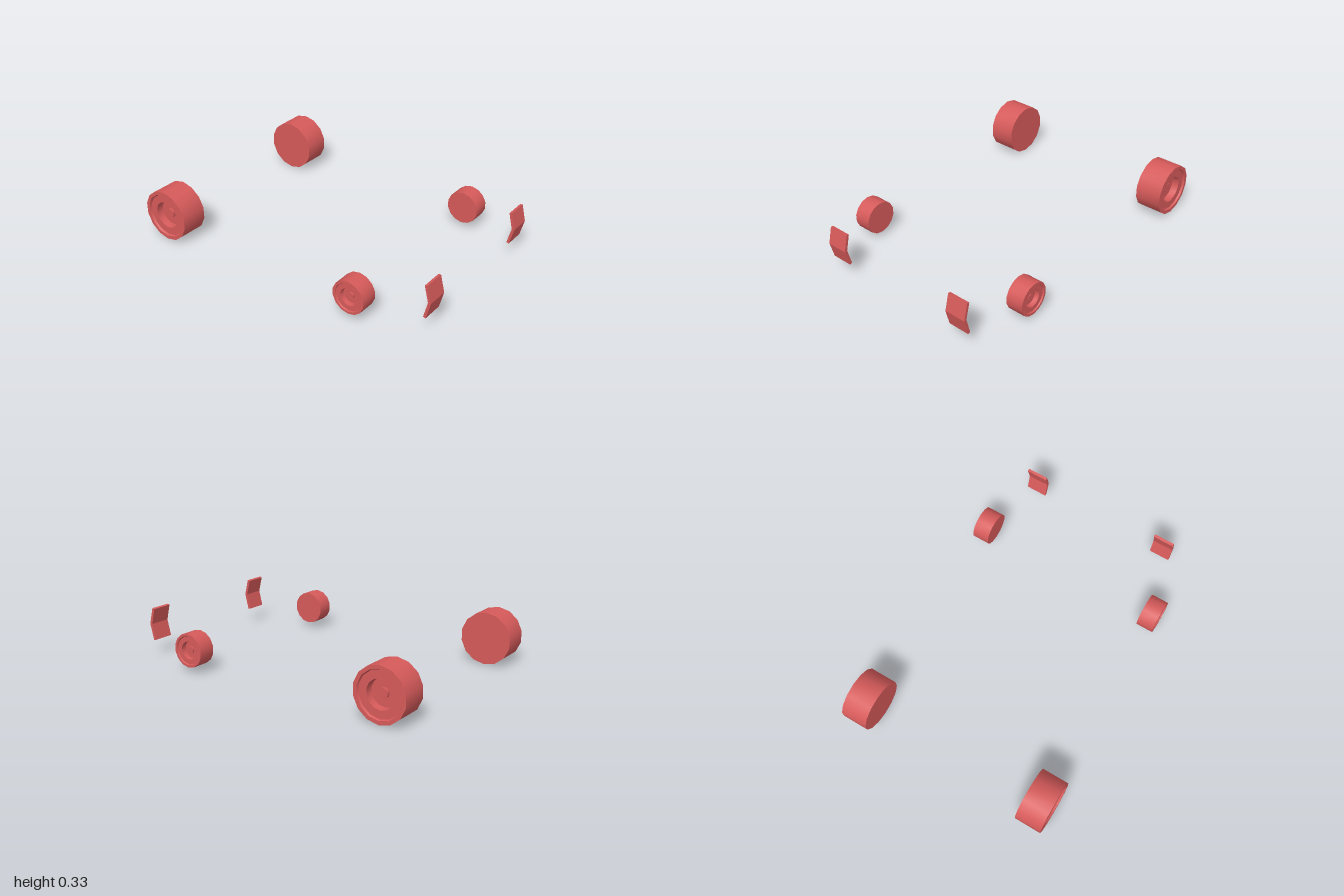
import * as THREE from 'three';
import { toCreasedNormals } from 'three/addons/utils/BufferGeometryUtils.js';

const red = new THREE.MeshStandardMaterial({ color: 0xd65a5a });

// Wheel turned about x: flat inner face at x = 0, dished outer face at x = width
function wheelGeometry(radius, width) {
  const profile = [
    [0, 0], [1, 0], [1, 1],               // inner face and tread
    [0.86, 1], [0.825, 0.93],             // tyre lip and step
    [0.53, 0.93], [0.5, 0.68],            // rim face and recess wall
    [0.18, 0.68], [0.18, 0.78], [0, 0.78] // recess floor and hub
  ].map(([r, x]) => new THREE.Vector2(r * radius, x * width));
  const geometry = new THREE.LatheGeometry(profile, 14, Math.PI / 2);
  geometry.rotateZ(-Math.PI / 2);
  return toCreasedNormals(geometry, 0.6);
}

// Thin plate with a horizontal fold, pointing forward, centred on x = 0
function plateGeometry() {
  const width = 0.135;
  const shape = new THREE.Shape([
    [0.973, 0.099], [1, 0.205], [0.973, 0.312],
    [0.956, 0.308], [0.982, 0.205], [0.956, 0.103]
  ].map(([z, y]) => new THREE.Vector2(-z, y)));
  const geometry = new THREE.ExtrudeGeometry(shape, { depth: width, bevelEnabled: false });
  geometry.translate(0, 0, -width / 2);
  geometry.rotateY(Math.PI / 2); // shape x (-z) becomes world z, extrusion runs along x
  return geometry;
}

export function createModel() {
  const model = new THREE.Group();
  const add = (name, geometry, x, y, z) => {
    const mesh = new THREE.Mesh(geometry, red);
    mesh.name = name;
    mesh.position.set(x, y, z);
    model.add(mesh);
    return mesh;
  };

  const rear = wheelGeometry(0.167, 0.172);
  const front = wheelGeometry(0.107, 0.111);
  const plate = plateGeometry();

  for (const [label, side] of [['left', 1], ['right', -1]]) {
    const turn = side > 0 ? 0 : Math.PI;
    // Wheels, dished faces outward
    add(label + 'RearWheel', rear, side * 0.525 - 0.001, 0.167, -0.838).rotation.y = turn;
    add(label + 'FrontWheel', front, side * 0.555 - 0.001, 0.136, 0.558).rotation.y = turn;
    // Folded nose plates
    add(label + 'NosePlate', plate, side > 0 ? 0.479 : -0.454, 0, 0);
  }
  return model;
}
